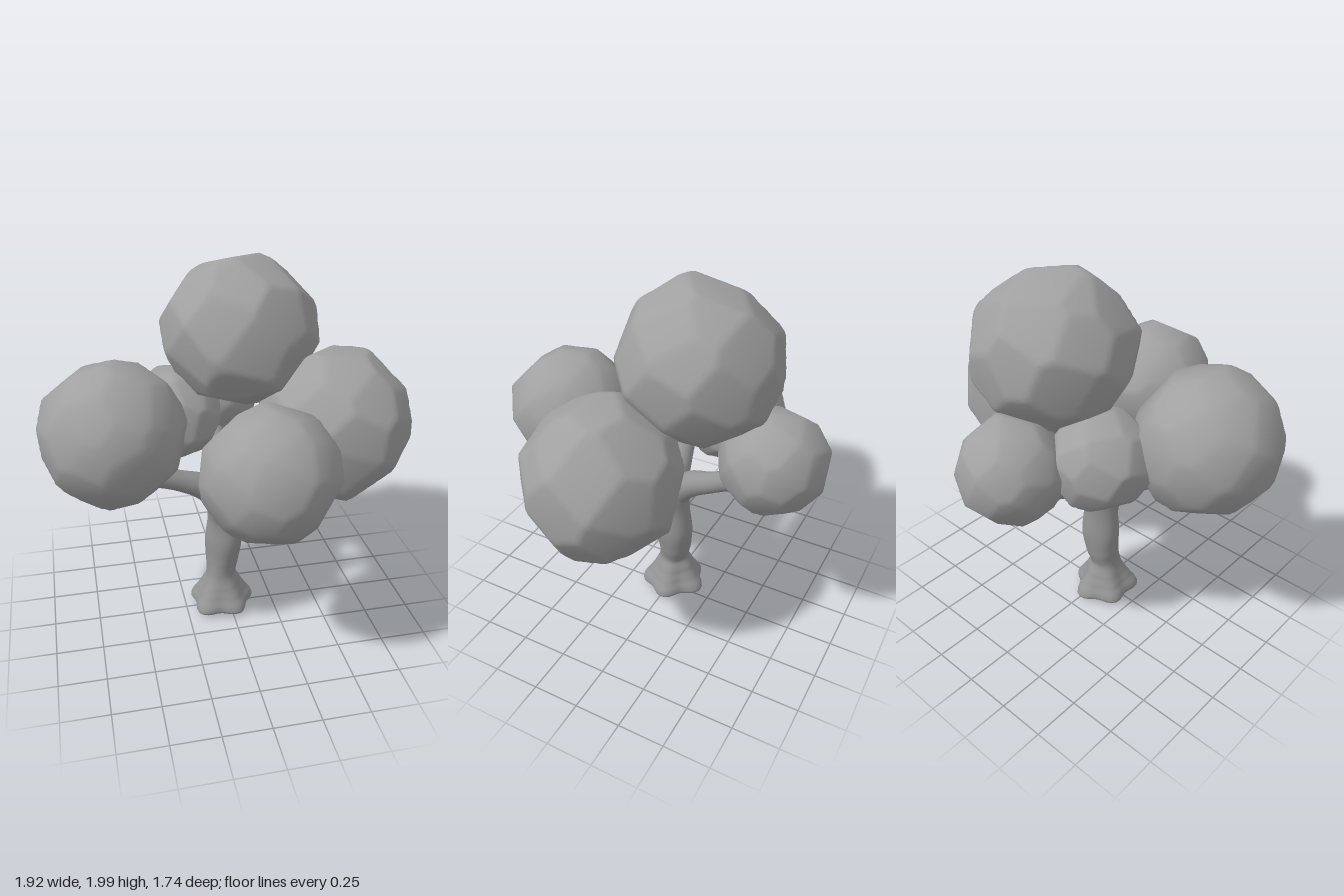
import * as THREE from 'three';
import { mergeVertices } from 'three/addons/utils/BufferGeometryUtils.js';

const leaf = new THREE.MeshStandardMaterial({ color: 0xa0a0a0 });
const bark = new THREE.MeshStandardMaterial({ color: 0x949494 });

function seeded(seed) {
  return () => {
    seed = (seed * 16807) % 2147483647;
    return seed / 2147483647;
  };
}

function weld(geometry) {
  geometry.deleteAttribute('uv');
  geometry.deleteAttribute('normal');
  const welded = mergeVertices(geometry, 1e-5);
  welded.computeVertexNormals();
  return welded;
}

// Leaf clump: a sphere cut by planes scattered around it; softness blends the facet shading
function clump(name, [x, y, z], [rx, ry, rz], cuts, seed, softness) {
  const random = seeded(seed);
  const planes = [];
  for (let i = 0; i < cuts; i++) {
    const h = 1 - (2 * i + 1) / cuts;
    const a = i * 2.39996 + seed;
    const s = Math.sqrt(1 - h * h);
    const n = new THREE.Vector3(s * Math.cos(a), h, s * Math.sin(a));
    n.x += (random() - 0.5) * 0.25;
    n.y += (random() - 0.5) * 0.25;
    n.z += (random() - 0.5) * 0.25;
    planes.push({ n: n.normalize(), d: 0.93 + random() * 0.045 });
  }
  const ball = new THREE.IcosahedronGeometry(1, 20);
  const pos = ball.attributes.position;
  const v = new THREE.Vector3();
  for (let i = 0; i < pos.count; i++) {
    v.fromBufferAttribute(pos, i).normalize();
    let r = 1.06;
    for (const { n, d } of planes) {
      const c = n.dot(v);
      if (c > 0.2) r = Math.min(r, d / c);
    }
    pos.setXYZ(i, v.x * r * rx, v.y * r * ry, v.z * r * rz);
  }
  const geometry = weld(ball);
  const { position, normal } = geometry.attributes;
  const n = new THREE.Vector3();
  for (let i = 0; i < normal.count; i++) {
    v.fromBufferAttribute(position, i).normalize();
    n.fromBufferAttribute(normal, i).lerp(v, softness).normalize();
    normal.setXYZ(i, n.x, n.y, n.z);
  }
  const mesh = new THREE.Mesh(geometry, leaf);
  mesh.name = name;
  mesh.position.set(x, y, z);
  return mesh;
}

// Limb: a tube through [x, y, z, radius] stations, with an optional rule shaping its outline
function limb(name, stations, segments, sides, shape = () => 1) {
  const path = new THREE.CatmullRomCurve3(stations.map(([x, y, z]) => new THREE.Vector3(x, y, z)));
  const radii = new THREE.CatmullRomCurve3(
    stations.map(s => new THREE.Vector3(s[3], 0, 0)), false, 'catmullrom', 0.4);
  const geometry = new THREE.TubeGeometry(path, segments, 1, sides, false);
  const pos = geometry.attributes.position;
  const v = new THREE.Vector3();
  for (let i = 0; i <= segments; i++) {
    const u = i / segments;
    const centre = path.getPointAt(u);
    const r = Math.max(0.002, radii.getPoint(path.getUtoTmapping(u)).x);
    for (let j = 0; j <= sides; j++) {
      const k = i * (sides + 1) + j;
      v.fromBufferAttribute(pos, k).sub(centre);
      v.multiplyScalar(r * shape(Math.atan2(v.z, v.x), centre.y)).add(centre);
      pos.setXYZ(k, v.x, v.y, v.z);
    }
  }
  const mesh = new THREE.Mesh(weld(geometry), bark);
  mesh.name = name;
  return mesh;
}

export function createModel() {
  const tree = new THREE.Group();
  tree.name = 'tree';

  // Trunk with a lobed, flared root
  const rootLobes = (a, y) =>
    1 + 0.13 * Math.cos(5 * a + 0.6) * Math.max(0, 1 - y / 0.26) + 0.03 * Math.sin(3 * a + y * 9);
  tree.add(limb('trunk', [
    [-0.045, 0.01, -0.01, 0.002], [-0.045, 0.015, -0.01, 0.125], [-0.045, 0.035, -0.01, 0.166],
    [-0.045, 0.065, -0.01, 0.163], [-0.045, 0.11, -0.01, 0.136], [-0.045, 0.16, -0.01, 0.11],
    [-0.045, 0.23, -0.01, 0.083], [-0.035, 0.32, -0.02, 0.093], [-0.025, 0.44, -0.02, 0.104],
    [-0.02, 0.58, -0.015, 0.095], [-0.015, 0.68, 0, 0.107], [-0.01, 0.76, 0, 0.1],
    [-0.01, 0.82, 0, 0.055], [-0.01, 0.835, 0, 0.002],
  ], 140, 40, rootLobes));

  // Branches fanning out from the fork
  const branches = {
    rightBranch: [[-0.03, 0.6, 0], [-0.11, 0.78, 0.01], [-0.29, 0.88, 0.04], [-0.64, 0.99, 0.08]],
    leftBranch: [[0, 0.6, 0], [0.09, 0.77, 0], [0.24, 0.87, 0.01], [0.42, 0.98, 0.02]],
    frontBranch: [[-0.01, 0.6, 0], [0, 0.77, 0.09], [0.01, 0.85, 0.25], [0.04, 0.94, 0.42]],
    backBranch: [[-0.01, 0.6, 0], [-0.01, 0.77, -0.1], [-0.01, 0.85, -0.27], [0.01, 0.98, -0.5]],
  };
  const widths = [0.055, 0.073, 0.056, 0.052];
  for (const [name, points] of Object.entries(branches)) {
    const stations = points.map((p, i) => [...p, widths[i]]);
    const [x, y, z] = points[3];
    stations.push([x * 1.04, y + 0.01, z * 1.04, 0.002]);
    tree.add(limb(name, stations, 36, 18));
  }

  // Foliage clumps
  tree.add(
    clump('topFoliage', [0.1, 1.595, -0.21], [0.41, 0.395, 0.4], 36, 11, 0.3),
    clump('rightFoliage', [-0.605, 1.222, 0.11], [0.365, 0.358, 0.375], 40, 23, 0.7),
    clump('leftFoliage', [0.555, 1.135, 0.06], [0.4, 0.402, 0.385], 36, 37, 0.3),
    clump('frontFoliage', [0.08, 1.135, 0.54], [0.33, 0.326, 0.328], 40, 41, 0.7),
    clump('backFoliage', [0.03, 1.122, -0.6], [0.268, 0.266, 0.265], 34, 53, 0.6),
    clump('innerFoliage', [-0.25, 1.145, -0.26], [0.265, 0.24, 0.275], 32, 67, 0.4),
  );
  return tree;
}
